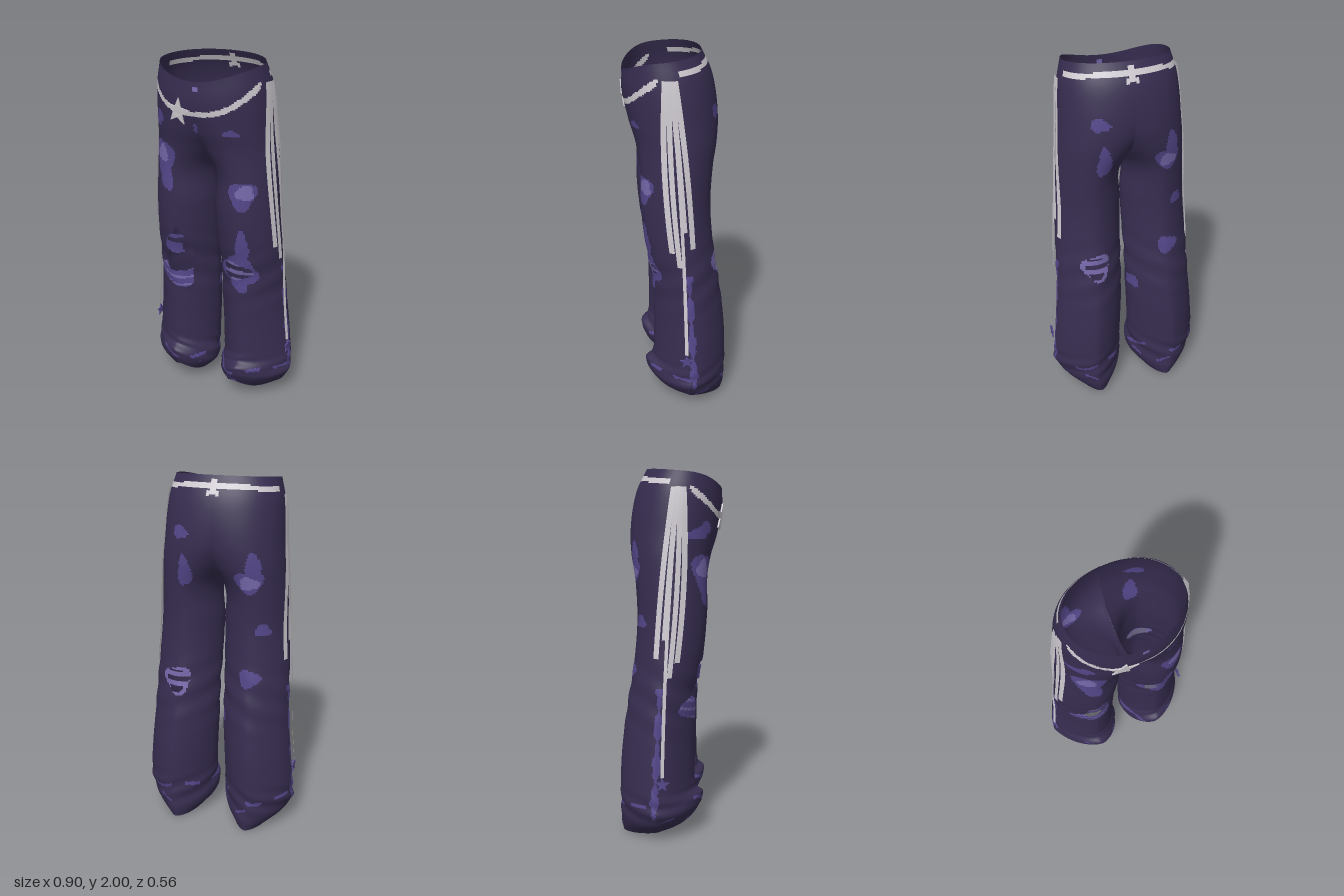
import * as THREE from 'three';

const mat = (name, color) => {
  const m = new THREE.MeshStandardMaterial({ color, side: THREE.DoubleSide });
  m.name = name;
  return m;
};

// Height, inner x, outer x, front z, back z, roundness of one trouser half.
// A negative inner x means the half is cut at the middle and joins its mirror.
const profile = [
  [0, 0.095, 0.335, 0.16, -0.26, 1.6], [0.06, 0.045, 0.405, 0.183, -0.27, 1.6],
  [0.14, 0.03, 0.445, 0.185, -0.268, 1.6], [0.2, 0.035, 0.447, 0.155, -0.27, 1.6],
  [0.4, 0.03, 0.433, 0.14, -0.268, 1.6], [0.6, 0.02, 0.413, 0.14, -0.25, 1.62],
  [0.8, 0.018, 0.398, 0.148, -0.22, 1.65], [1.0, 0.012, 0.385, 0.182, -0.19, 1.72],
  [1.2, 0.008, 0.37, 0.2, -0.175, 1.78], [1.42, 0.003, 0.355, 0.2, -0.185, 1.85],
  [1.55, -0.1, 0.345, 0.22, -0.21, 1.95], [1.65, -0.2, 0.335, 0.25, -0.22, 2.05],
  [1.8, -0.3, 0.325, 0.275, -0.21, 2.1], [1.9, -0.313, 0.313, 0.28, -0.185, 2.1],
  [2.0, -0.287, 0.287, 0.275, -0.135, 2.1],
];
const spline = new THREE.CubicInterpolant(
  new Float32Array(profile.map(p => p[0])),
  new Float32Array(profile.flatMap(p => p.slice(1))), 5, new Float32Array(5));
function section(y) {
  const [xi, xo, zf, zb, power] = spline.evaluate(y);
  return { cx: (xi + xo) / 2, a: (xo - xi) / 2, cz: (zf + zb) / 2, b: (zf - zb) / 2, power };
}
const arc = (t, power) => (1 - Math.min(1, Math.abs(t)) ** power) ** (1 / power);
// Outer x of the cloth at a given height and depth
function sideX(y, z) {
  const s = section(y);
  return s.cx + s.a * arc((z - s.cz) / s.b, s.power);
}
// Front z of the cloth at a given place
function frontZ(x, y) {
  const s = section(y);
  return s.cz + s.b * arc((Math.abs(x) - s.cx) / s.a, s.power);
}

const DENIM = 0, WASHED = 1, PALE = 2, SILVER = 3, HOLE = -1;

// Worn patches: x, y, radius x, radius y, side (1 front, -1 back), colour
const patches = [
  [-0.245, 1.48, 0.042, 0.048, 1, PALE], [-0.235, 1.46, 0.075, 0.1, 1, WASHED],
  [-0.215, 1.35, 0.042, 0.08, 1, WASHED],
  [0.25, 1.33, 0.045, 0.04, 1, PALE], [0.235, 1.315, 0.068, 0.077, 1, WASHED],
  [-0.28, 1.66, 0.04, 0.03, 1, WASHED], [-0.245, 1.69, 0.035, 0.032, 1, WASHED],
  [0.19, 1.65, 0.038, 0.018, 1, WASHED],
  [0.02, 1.87, 0.016, 0.014, 1, PALE], [0, 1.66, 0.01, 0.03, 1, WASHED],
  [-0.2, 1.46, 0.05, 0.035, -1, PALE], [-0.2, 1.47, 0.072, 0.06, -1, WASHED],
  [-0.22, 1.56, 0.04, 0.06, -1, WASHED], [-0.27, 1.2, 0.038, 0.035, -1, WASHED],
  [-0.21, 0.93, 0.058, 0.05, -1, WASHED], [0.175, 1.71, 0.045, 0.035, -1, WASHED],
  [0.155, 1.5, 0.04, 0.085, -1, WASHED], [-0.035, 0.66, 0.025, 0.04, -1, WASHED],
];
const ellipse = (dx, dy, rx, ry) => {
  const p = Math.atan2(dy / ry, dx / rx);
  return Math.hypot(dx / rx, dy / ry) < 1 + 0.14 * Math.sin(3 * p + rx * 90);
};
const inStar = (dx, dy, r) => {
  const k = (Math.atan2(dx, dy) / (Math.PI * 0.4) + 10.5) % 1 - 0.5;
  return Math.hypot(dx, dy) < r * (1 - 1.2 * Math.abs(k));
};
const inBand = (t, share) => t - Math.floor(t) < share;

// Ripped knees with threads left across the openings
function rip(x, y, front) {
  if (front) {
    if (ellipse(x - 0.19, y - 0.85, 0.085, 0.055))
      return inBand((y + 0.5 * (x - 0.19) ** 2 - 0.805) / 0.055, 0.6) ? HOLE : PALE;
    if (ellipse(x - 0.2, y - 0.86, 0.11, 0.09) || ellipse(x - 0.235, y - 1.02, 0.035, 0.09) ||
        ellipse(x - 0.21, y - 0.77, 0.055, 0.05)) return WASHED;
    const sag = y - 1.4 * (x + 0.2) ** 2;
    if (ellipse(x + 0.185, y - 0.89, 0.085 - 0.18 * (y - 0.85), 0.15))
      return (sag > 0.885 && sag < 0.95 && x < -0.145) || (sag > 0.985 && sag < 1.005) ? WASHED : HOLE;
    if (ellipse(x + 0.215, y - 0.74, 0.12, 0.085))
      return inBand((sag - 0.66) / 0.05, 0.3) ? PALE : WASHED;
  } else {
    if (ellipse(x - 0.21, y - 0.87, 0.065, 0.065))
      return inBand((y - 0.8) / 0.06, 0.58) ? HOLE : PALE;
    if (ellipse(x - 0.21, y - 0.87, 0.078, 0.08)) return PALE;
  }
  return null;
}

function paint(x, y, z, f) {
  const front = f > 0;
  // belt chains, with a star at the back
  if (front) {
    const slope = 1.8 * x + 32 * x ** 3;
    if (Math.abs(x) < 0.3 && Math.abs(y - 1.74 - 0.9 * x * x - 8 * x ** 4) < 0.014 * Math.hypot(1, slope))
      return SILVER;
  } else {
    if (inStar(x, y - 1.94, 0.05)) return SILVER;
    if (z < 0.01 && Math.abs(y - 1.953 + 0.3 * x * x) < 0.012) return SILVER;
  }
  const torn = rip(x, y, front);
  if (torn !== null) return torn;
  for (const [px, py, rx, ry, side, colour] of patches)
    if ((side > 0) === front && ellipse(x - px, y - py, rx, ry)) return colour;
  // faded outer seam and frayed hem
  if (Math.abs(x) > 0.36 && y < 0.86 && y > 0.15 &&
      Math.abs(z + 0.08 - 0.05 * y) < 0.016 + 0.008 * Math.sin(y * 31) + 0.004 * Math.sin(y * 83)) return WASHED;
  const wave = Math.sin(x * 21 + z * 9);
  if (Math.abs(y - 0.205 - 0.02 * wave) < 0.01 && Math.sin(x * 34 - z * 17) > -0.1) return WASHED;
  if (Math.abs(y - 0.12 + 0.025 * wave) < 0.008 && Math.sin(x * 27 + z * 23) > 0.25) return WASHED;
  return DENIM;
}

// One half of the trousers, from hem to waist
function trouserHalf(side, materials) {
  const N = 128, ROWS = 220, pos = [], lists = [[], [], [], []];
  const fade = (t) => 1 - THREE.MathUtils.smoothstep(t, 0, 1);
  for (let j = 0; j <= ROWS; j++) for (let i = 0; i < N; i++) {
    const th = i / N * Math.PI * 2, c = Math.cos(th), f = Math.sin(th), row = 2 * j / ROWS;
    const s = section(row), ahead = Math.max(0, f);
    const bend = (v) => Math.sign(v) * Math.abs(v) ** (2 / s.power);
    const crease = fade(Math.abs(row - 0.18) / 0.14) * 0.005 * Math.sin(4 * th + row * 55)
      + fade(Math.abs(row - 0.8) / 0.3) * 0.003 * Math.sin(3 * th + row * 40);
    // the front of the lower leg leans inwards
    const lean = 0.035 * ahead * fade(row / 1.1);
    const x = Math.max(0, s.cx - lean + (s.a + crease) * bend(c));
    const hem = 0.035 + 0.035 * f + 0.06 * ahead ** 4;
    const rim = -0.02 - 0.02 * f - 0.055 * ahead ** 3;
    const y = row + hem * fade(row / 0.4) + rim * fade((2 - row) / 0.35);
    pos.push(side * x, y, s.cz + (s.b + crease) * bend(f));
  }
  for (let j = 0; j < ROWS; j++) for (let i = 0; i < N; i++) {
    const k = (i + 1) % N;
    const q = [j * N + i, (j + 1) * N + i, (j + 1) * N + k, j * N + k];
    if (q.every(v => pos[v * 3] === 0)) continue;
    const mid = [0, 1, 2].map(n => q.reduce((t, v) => t + pos[v * 3 + n] / 4, 0));
    const colour = paint(...mid, Math.sin((i + 0.5) / N * Math.PI * 2));
    if (colour === HOLE) continue;
    const [a, b, c, d] = side > 0 ? q : [...q].reverse();
    lists[colour].push(a, b, c, a, c, d);
  }
  const g = new THREE.BufferGeometry();
  g.setAttribute('position', new THREE.Float32BufferAttribute(pos, 3));
  g.setIndex(lists.flat());
  let start = 0;
  lists.forEach((l, m) => { g.addGroup(start, l.length, m); start += l.length; });
  g.computeVertexNormals();
  // keep shading continuous over the centre seam
  const n = g.attributes.normal, v = new THREE.Vector3();
  for (let i = 0; i < n.count; i++) if (pos[i * 3] === 0) {
    v.fromBufferAttribute(n, i).setX(0).normalize();
    n.setXYZ(i, v.x, v.y, v.z);
  }
  return new THREE.Mesh(g, materials);
}

// Hanging flat chain: depths at top, middle and end, end height, width
function strand(side, [z0, z1, z2, end, width], lift, material) {
  const path = new THREE.QuadraticBezierCurve(new THREE.Vector2(z0, 1.9),
    new THREE.Vector2(2 * z1 - (z0 + z2) / 2, (1.9 + end) / 2), new THREE.Vector2(z2, end));
  const pos = [], index = [], steps = 30;
  path.getPoints(steps).forEach((p, i) => {
    for (const e of [-0.5, 0.5]) {
      const z = p.x + e * width;
      pos.push(side * (sideX(p.y, z) + lift), p.y, z);
    }
    if (i < steps) { const a = i * 2; index.push(a, a + 2, a + 1, a + 1, a + 2, a + 3); }
  });
  if (side < 0) index.reverse();
  const g = new THREE.BufferGeometry();
  g.setAttribute('position', new THREE.Float32BufferAttribute(pos, 3));
  g.setIndex(index);
  g.computeVertexNormals();
  return new THREE.Mesh(g, material);
}

// Thin five-pointed star facing +z
function starGeometry(r) {
  const pts = Array.from({ length: 10 }, (_, i) => {
    const q = i % 2 ? r * 0.42 : r, t = i * Math.PI / 5;
    return new THREE.Vector2(q * Math.sin(t), q * Math.cos(t));
  });
  return new THREE.ExtrudeGeometry(new THREE.Shape(pts), { depth: 0.008, bevelEnabled: false });
}

// Star pendant laid on the front of the waist
function beltStar(x0, y0, material) {
  const g = starGeometry(0.075).rotateZ(-0.15).translate(x0, y0, 0), p = g.attributes.position;
  for (let i = 0; i < p.count; i++)
    p.setZ(i, p.getZ(i) + frontZ(p.getX(i), p.getY(i)) + 0.004);
  g.computeVertexNormals();
  return new THREE.Mesh(g, material);
}

export function createModel() {
  const group = new THREE.Group();
  const materials = [mat('dark denim', 0x372d50), mat('washed denim', 0x54478a),
    mat('pale denim', 0x7769ab), mat('silver chain', 0xcfcbd1)];
  const strands = [
    [0.08, 0.085, 0.05, 1.0, 0.028], [0.06, 0.05, 0.01, 0.92, 0.026],
    [0.03, -0.025, -0.06, 1.02, 0.028], [0.05, 0.015, -0.015, 1.12, 0.028],
    [0.05, 0.0, -0.025, 0.39, 0.018],
  ];
  for (const side of [1, -1]) {
    const label = side > 0 ? 'left' : 'right';
    const half = trouserHalf(side, materials);
    half.name = label + 'TrouserHalf';
    group.add(half);
    const chains = new THREE.Group();
    chains.name = label + 'SideChains';
    strands.forEach((s, i) => {
      const m = strand(side, s, 0.008 + 0.002 * i, materials[SILVER]);
      m.name = 'hangingChain' + (i + 1);
      chains.add(m);
    });
    const charm = new THREE.Mesh(starGeometry(0.04).rotateY(Math.PI / 2), materials[WASHED]);
    charm.name = 'starCharm';
    charm.position.set(side * (sideX(0.35, -0.025) + 0.012), 0.35, -0.025);
    chains.add(charm);
    group.add(chains);
  }
  const star = beltStar(-0.09, 1.745, materials[SILVER]);
  star.name = 'beltStar';
  group.add(star);
  return group;
}
